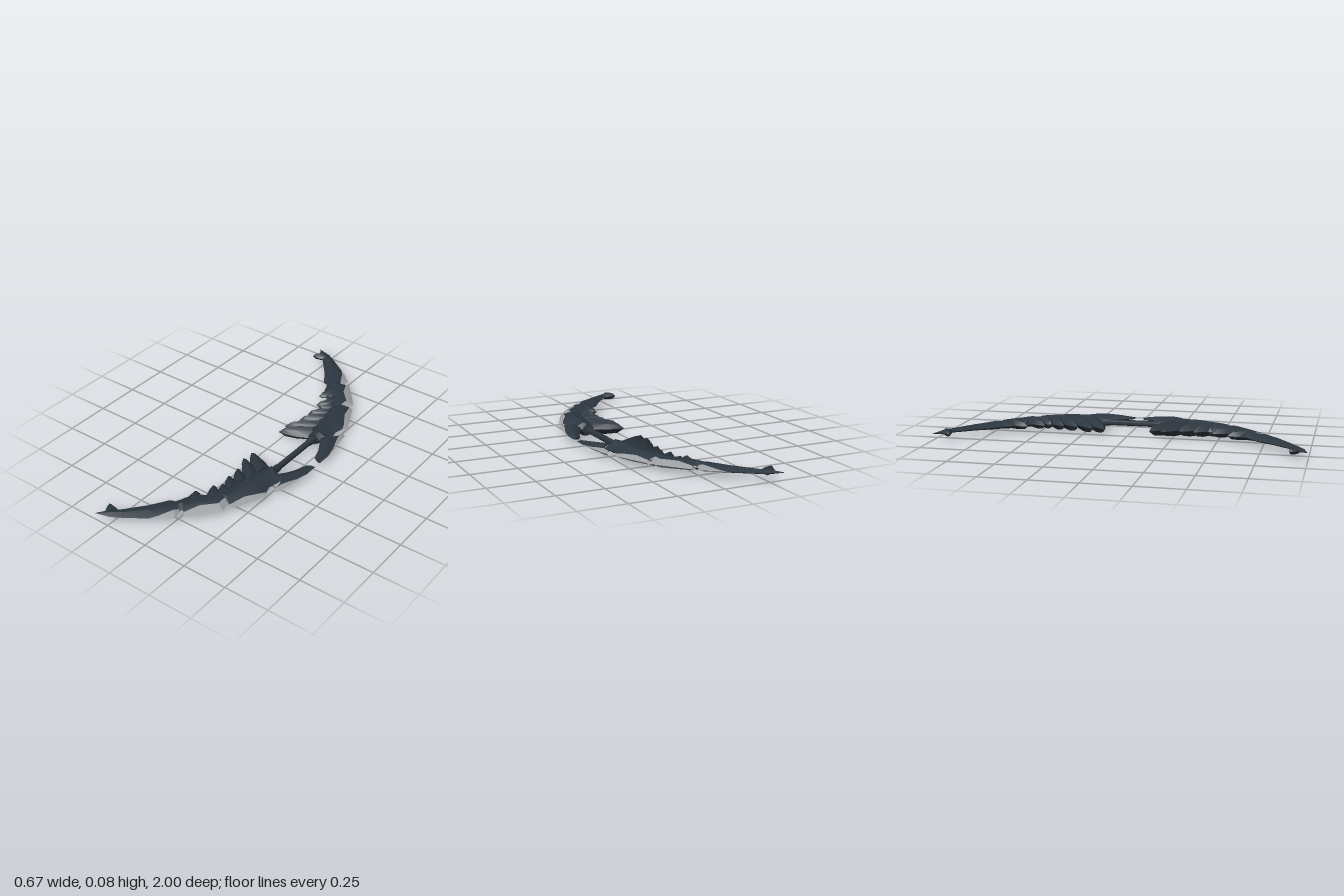
import * as THREE from 'three';
import { toCreasedNormals } from 'three/addons/utils/BufferGeometryUtils.js';

const MID = 0.043; // height of the bow's middle plane

const dark = new THREE.MeshStandardMaterial({ color: 0x2d3740 });
dark.name = 'dark steel';
const pale = new THREE.MeshStandardMaterial({ color: 0x9b9fa1 });
pale.name = 'pale blade edge';

// Lens-shaped loft. Station: [outerX, outerZ, innerX, innerZ, halfThickness, bladeFraction]
function loft(stations, side) {
  const body = [], blade = [];
  const section = (s, sign) => {
    const b = s[5] || 0;
    return [0, b, Math.max(0.45, b + 0.1), 0.75, 1].map((f) => new THREE.Vector3(
      s[0] + (s[2] - s[0]) * f,
      MID + sign * s[4] * Math.sin(Math.PI * f),
      side * (s[1] + (s[3] - s[1]) * f)));
  };
  const tri = (list, a, b, c, out) => {
    const n = b.clone().sub(a).cross(c.clone().sub(a));
    if (n.lengthSq() < 1e-16) return;
    const order = n.dot(out) < 0 ? [a, c, b] : [a, b, c];
    order.forEach((p) => list.push(p.x, p.y, p.z));
  };
  for (const sign of [1, -1]) {
    const rows = stations.map((s) => section(s, sign));
    const up = new THREE.Vector3(0, sign, 0);
    for (let i = 0; i < rows.length - 1; i++) {
      for (let j = 0; j < 4; j++) {
        const list = j === 0 ? blade : body;
        tri(list, rows[i][j], rows[i + 1][j], rows[i][j + 1], up);
        tri(list, rows[i + 1][j], rows[i + 1][j + 1], rows[i][j + 1], up);
      }
    }
    // close both ends
    for (const [e, n] of [[0, 1], [rows.length - 1, rows.length - 2]]) {
      const out = rows[e][2].clone().sub(rows[n][2]).setY(0);
      const foot = rows[e][2].clone().setY(MID);
      for (let j = 0; j < 4; j++) tri(body, foot, rows[e][j], rows[e][j + 1], out);
    }
  }
  let g = new THREE.BufferGeometry();
  g.setAttribute('position', new THREE.Float32BufferAttribute(body.concat(blade), 3));
  g = toCreasedNormals(g, 0.45);
  g.addGroup(0, body.length / 3, 0);
  g.addGroup(body.length / 3, blade.length / 3, 1);
  return g;
}

// Pointed feather from base corners a and b to a tip
function feather(a, b, tip, h) {
  const at = (p, t, w) => {
    const cx = (a[0] + b[0]) / 2, cz = (a[1] + b[1]) / 2;
    return [cx + (tip[0] - cx) * t + (p[0] - cx) * w, cz + (tip[1] - cz) * t + (p[1] - cz) * w];
  };
  return [[0, 1, 1], [0.45, 0.75, 1], [0.8, 0.38, 0.75], [1, 0, 0]]
    .map(([t, w, k]) => [...at(a, t, w), ...at(b, t, w), h * k]);
}

const PARTS = {
  limbTip: [
    [-0.335, 1.0, -0.335, 1.0, 0], [-0.25, 0.975, -0.295, 0.94, 0.011],
    [-0.2, 0.945, -0.25, 0.9, 0.012], [-0.09, 0.87, -0.16, 0.79, 0.017],
    [-0.05, 0.84, -0.125, 0.735, 0.019, 0.12], [0.012, 0.785, -0.1, 0.695, 0.021, 0.3],
    [0.002, 0.74, -0.06, 0.68, 0.022, 0.15]],
  limbMiddle: [
    [-0.01, 0.765, -0.07, 0.68, 0.019], [0.015, 0.725, -0.06, 0.66, 0.024, 0.08],
    [0.04, 0.757, -0.05, 0.63, 0.025, 0.15], [0.105, 0.68, -0.03, 0.6, 0.027, 0.3],
    [0.17, 0.6, 0.02, 0.55, 0.029, 0.27], [0.153, 0.545, 0.04, 0.51, 0.03, 0.24],
    [0.14, 0.5, 0.06, 0.47, 0.03]],
  limbInner: [
    [0.155, 0.535, 0.05, 0.51, 0.028], [0.19, 0.56, 0.06, 0.48, 0.03, 0.12],
    [0.23, 0.475, 0.065, 0.42, 0.033, 0.19], [0.27, 0.386, 0.075, 0.36, 0.035, 0.12],
    [0.265, 0.355, 0.085, 0.32, 0.036, 0.04], [0.242, 0.31, 0.1, 0.27, 0.037],
    [0.26, 0.22, 0.12, 0.205, 0.037], [0.215, 0.19, 0.145, 0.175, 0.034]],
  guardBlade: [
    [0.288, 0.322, 0.278, 0.29, 0.01, 0.6], [0.302, 0.31, 0.262, 0.225, 0.018, 0.4],
    [0.312, 0.24, 0.2, 0.2, 0.03, 0.14], [0.325, 0.17, 0.23, 0.17, 0.026, 0.06],
    [0.333, 0.1, 0.262, 0.11, 0.018], [0.333, 0.02, 0.285, 0.042, 0.006]],
  tipBarb: feather([-0.29, 0.97], [-0.245, 0.915], [-0.325, 0.905], 0.021),
};

// Feathers along the inner edge: base corner, base corner, tip, half thickness
const FEATHERS = [
  [[-0.03, 0.71], [0.05, 0.62], [-0.04, 0.555], 0.024],
  [[0.03, 0.66], [0.09, 0.57], [-0.005, 0.575], 0.026],
  [[0.05, 0.6], [0.11, 0.52], [0.0, 0.47], 0.028],
  [[0.07, 0.53], [0.12, 0.46], [0.035, 0.44], 0.031],
  [[0.08, 0.48], [0.13, 0.4], [0.015, 0.365], 0.034],
  [[0.09, 0.42], [0.14, 0.34], [0.012, 0.285], 0.036],
  [[0.11, 0.35], [0.16, 0.26], [-0.02, 0.19], 0.037],
  [[0.12, 0.29], [0.165, 0.18], [-0.015, 0.125], 0.038],
];

export function createModel() {
  const bow = new THREE.Group();
  bow.name = 'bow';

  // Mirrored limbs
  for (const side of [1, -1]) {
    const limb = new THREE.Group();
    limb.name = side > 0 ? 'frontLimb' : 'backLimb';
    const add = (name, stations) => {
      const mesh = new THREE.Mesh(loft(stations, side), [dark, pale]);
      mesh.name = name;
      limb.add(mesh);
    };
    for (const [name, stations] of Object.entries(PARTS)) add(name, stations);
    FEATHERS.forEach((f, i) => add('feather' + (i + 1), feather(...f)));
    bow.add(limb);
  }

  // Grip bar, flaring slightly into the limbs
  const profile = [[0, -0.23], [0.024, -0.23], [0.021, -0.15], [0.017, -0.13], [0.017, 0.13],
    [0.021, 0.15], [0.024, 0.23], [0, 0.23]].map(([r, y]) => new THREE.Vector2(r, y));
  const grip = new THREE.Mesh(toCreasedNormals(new THREE.LatheGeometry(profile, 10), 0.7), dark);
  grip.name = 'grip';
  grip.rotation.x = Math.PI / 2;
  grip.position.set(0.177, MID, 0);
  bow.add(grip);
  return bow;
}
